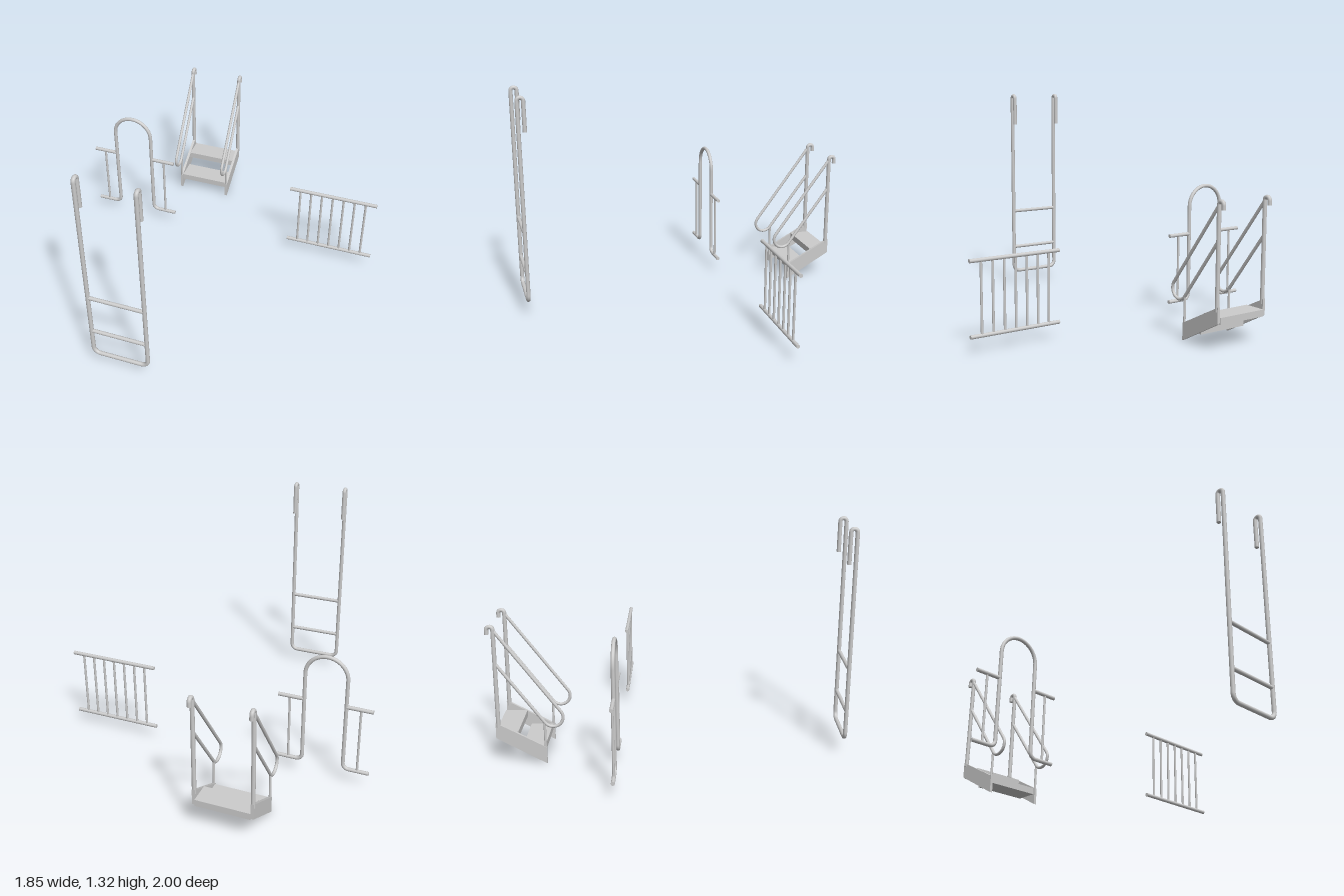
import * as THREE from 'three';
import { mergeGeometries } from 'three/addons/utils/BufferGeometryUtils.js';

const metal = new THREE.MeshStandardMaterial({ color: 0xcccccc });
const SIDES = 12;

function addMesh(parent, name, geometry) {
  const mesh = new THREE.Mesh(geometry, metal);
  mesh.name = name;
  parent.add(mesh);
  return mesh;
}

function addGroup(parent, name) {
  const group = new THREE.Group();
  group.name = name;
  parent.add(group);
  return group;
}

// Capped round pipe through [x, y, z] points; right-angle corners become arcs
function addPipe(parent, name, coords, radius, bend = 0.04) {
  const p = coords.map((c) => new THREE.Vector3(...c));
  const path = new THREE.CurvePath();
  const line = (a, b) => {
    if (a.distanceTo(b) > 1e-4) path.add(new THREE.LineCurve3(a, b));
  };
  let from = p[0];
  for (let i = 1; i < p.length - 1; i++) {
    const back = p[i - 1].clone().sub(p[i]);
    const ahead = p[i + 1].clone().sub(p[i]);
    const r = Math.min(bend, back.length() / 2, ahead.length() / 2);
    back.normalize();
    ahead.normalize();
    const at = (dir, d) => p[i].clone().addScaledVector(dir, d);
    const start = at(back, r), end = at(ahead, r);
    line(from, start);
    path.add(new THREE.CubicBezierCurve3(start, at(back, r * 0.4477), at(ahead, r * 0.4477), end));
    from = end;
  }
  line(from, p[p.length - 1]);
  path.arcLengthDivisions = 800;
  const steps = p.length === 2 ? 1 : Math.ceil(path.getLength() / 0.008);
  const cap = (point, dir) => {
    const q = new THREE.Quaternion().setFromUnitVectors(new THREE.Vector3(0, 0, 1), dir);
    return new THREE.CircleGeometry(radius, SIDES).applyQuaternion(q).translate(point.x, point.y, point.z);
  };
  const dirOut = (a, b) => a.clone().sub(b).normalize();
  const n = p.length;
  return addMesh(parent, name, mergeGeometries([
    new THREE.TubeGeometry(path, steps, radius, SIDES, false),
    cap(p[0], dirOut(p[0], p[1])),
    cap(p[n - 1], dirOut(p[n - 1], p[n - 2])),
  ]));
}

// Tall ladder: one bent pipe with hooked tops, plus two rungs
function buildLadder(root) {
  const ladder = addGroup(root, 'hookLadder');
  const xl = -0.375, xr = -0.051, z = 0.988, zh = 0.953, top = 1.308;
  addPipe(ladder, 'ladderFrame', [
    [xl, 1.115, zh], [xl, top, zh], [xl, top, z], [xl, 0.1, z],
    [xr, 0.1, z], [xr, top, z], [xr, top, zh], [xr, 1.115, zh],
  ], 0.012);
  for (const y of [0.27, 0.52]) addPipe(ladder, 'rung', [[xl, y, z], [xr, y, z]], 0.011);
}

// Arched gateway with short railing stubs on both sides
function buildArch(root) {
  const arch = addGroup(root, 'archRailing');
  const z = -0.291, cx = -0.658, half = 0.12, reach = 0.271;
  addPipe(arch, 'archFrame', [
    [cx - reach, 0.097, z], [cx - half, 0.097, z], [cx - half, 0.66, z],
    [cx - half, 0.78, z], [cx + half, 0.78, z],
    [cx + half, 0.66, z], [cx + half, 0.097, z], [cx + reach, 0.097, z],
  ].filter((c) => c[1] !== 0.66), 0.011, half).geometry.dispose();
  // The feet bend tighter than the crown, so the frame is made of crown and two legs
  arch.clear();
  addPipe(arch, 'archCrown', [
    [cx - half, 0.5, z], [cx - half, 0.78, z], [cx + half, 0.78, z], [cx + half, 0.5, z],
  ], 0.011, half);
  for (const s of [-1, 1]) {
    addPipe(arch, 'archLeg', [
      [cx + s * half, 0.5, z], [cx + s * half, 0.097, z], [cx + s * reach, 0.097, z],
    ], 0.011, 0.035);
    addPipe(arch, 'stubRail', [[cx + s * half, 0.497, z], [cx + s * reach, 0.497, z]], 0.011);
    addPipe(arch, 'baluster', [[cx + s * 0.203, 0.097, z], [cx + s * 0.203, 0.497, z]], 0.007);
  }
}

// Straight railing panel with seven balusters
function buildRailing(root) {
  const railing = addGroup(root, 'railingPanel');
  const z = -0.291;
  for (const y of [0.097, 0.497]) addPipe(railing, 'rail', [[0.386, y, z], [0.925, y, z]], 0.011);
  for (let i = 0; i < 7; i++) {
    const x = 0.452 + i * 0.0677;
    addPipe(railing, 'baluster', [[x, 0.097, z], [x, 0.497, z]], 0.007);
  }
}

// Two-step stair with sloping looped handrails
function buildStairs(root) {
  const stairs = addGroup(root, 'stairs');
  const cx = -0.328, half = 0.163, thick = 0.016;

  // Stringer outline drawn in (-z, y), then turned so its depth runs along x
  const outline = new THREE.Shape([[0.69, 0], [0.968, 0.152], [0.968, 0.243], [0.69, 0.098]]
    .map(([a, b]) => new THREE.Vector2(a, b)));
  const stringer = new THREE.ExtrudeGeometry(outline, { depth: thick, bevelEnabled: false })
    .rotateY(Math.PI / 2).translate(-thick / 2, 0, 0);

  for (const s of [-1, 1]) {
    const side = addGroup(stairs, s < 0 ? 'rightSide' : 'leftSide');
    side.position.x = cx + s * half;
    addMesh(side, 'stringer', stringer);
    addPipe(side, 'hookPost', [
      [0, 0.215, -0.954], [0, 0.797, -0.954], [0, 0.797, -0.988], [0, 0.754, -0.988],
    ], 0.012);
    // Loop end: centre c, slope direction d, across direction n
    const R = 0.056, c = [0.278, -0.65], d = [0.8, -0.6], n = [0.6, 0.8];
    const at = (a, b) => [0, c[0] + d[0] * a + n[0] * b, c[1] + d[1] * a + n[1] * b];
    addPipe(side, 'loopHandrail', [at(0.575, R), at(-R, R), at(-R, -R), at(0.43, -R)], 0.009, R);
    addPipe(side, 'frontPost', [[0, 0.05, -0.697], [0, 0.243, -0.697]], 0.007);
  }

  for (const [y, z] of [[0.081, -0.763], [0.167, -0.91]]) {
    addMesh(stairs, 'tread', new THREE.BoxGeometry(half * 2 - thick, 0.038, 0.126))
      .position.set(cx, y, z);
  }
}

export function createModel() {
  const root = new THREE.Group();
  root.name = 'poolLaddersAndRailings';
  buildLadder(root);
  buildArch(root);
  buildRailing(root);
  buildStairs(root);
  return root;
}
